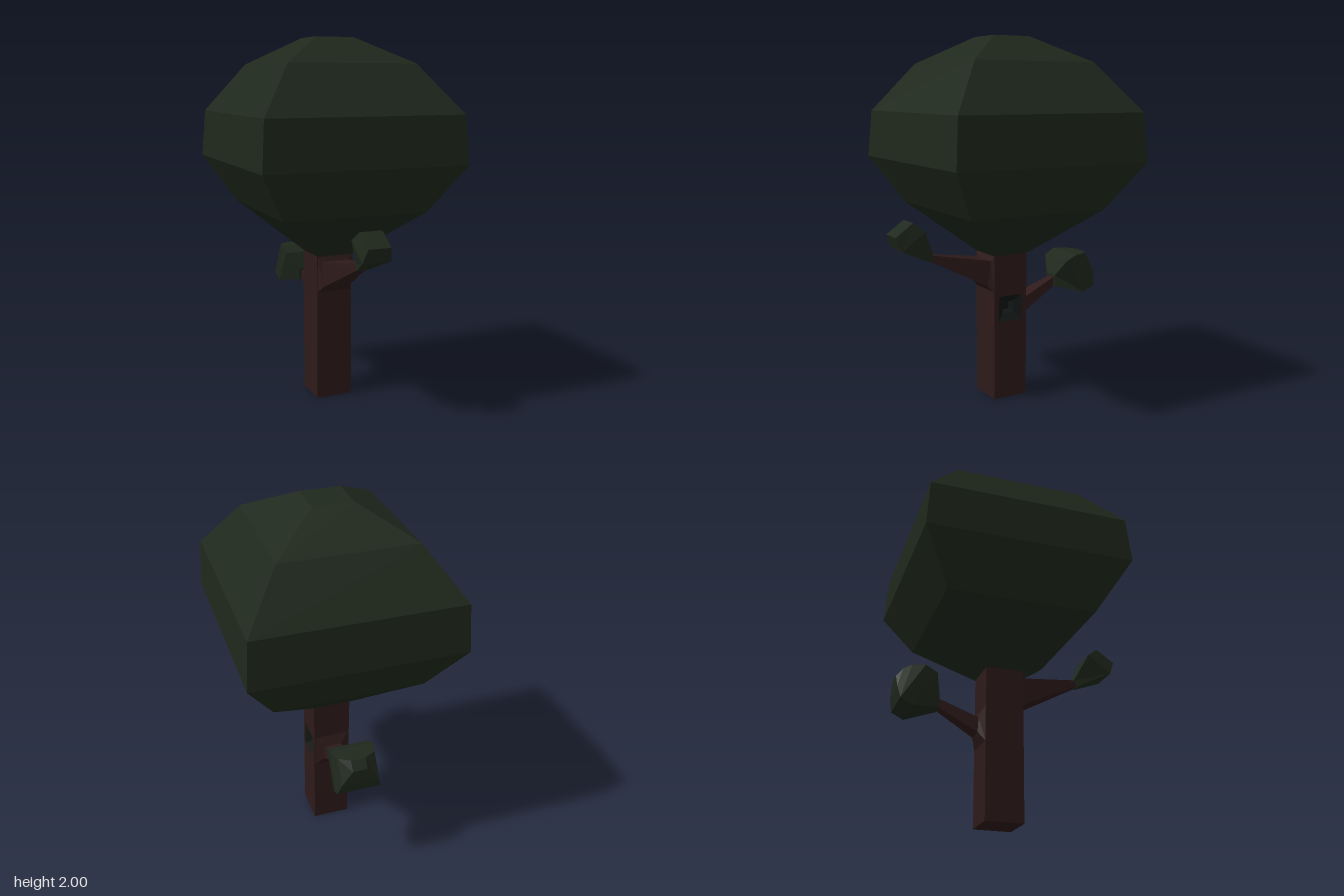
import * as THREE from 'three';

const LEAF = 0x1f281c, BARK = 0x2e1a1a, HOLLOW = 0x111615;
const CZ = -0.0435, HALF = 0.103, TRUNK_H = 0.82;

function makeMesh(name, geometry, color, side = THREE.FrontSide) {
  const mesh = new THREE.Mesh(
    geometry, new THREE.MeshStandardMaterial({ color, flatShading: true, side }));
  mesh.name = name;
  return mesh;
}

// Skins four-cornered sections; each is [z1, y1, z2, y2, halfWidthX],
// running counter-clockwise when seen from the far end.
function loft(sections, capStart = true) {
  const rings = sections.map(([z1, y1, z2, y2, w]) =>
    [[w, y1, z1], [w, y2, z2], [-w, y2, z2], [-w, y1, z1]]);
  const pos = [];
  const quad = (a, b, c, d) => pos.push(...a, ...b, ...c, ...a, ...c, ...d);
  for (let i = 0; i < rings.length - 1; i++) {
    const a = rings[i], b = rings[i + 1];
    for (let j = 0; j < 4; j++) {
      const k = (j + 1) % 4;
      quad(a[j], a[k], b[k], b[j]);
    }
  }
  const first = rings[0], last = rings[rings.length - 1];
  if (capStart) quad(first[3], first[2], first[1], first[0]);
  quad(...last);
  const geometry = new THREE.BufferGeometry();
  geometry.setAttribute('position', new THREE.Float32BufferAttribute(pos, 3));
  geometry.computeVertexNormals();
  return geometry;
}

// Square sections stacked along y, from [half size, height] pairs
const squares = (profile, z) => profile.map(([h, y]) => [z + h, y, z - h, y, h]);

function createTrunk() {
  const trunk = new THREE.Group();
  trunk.name = 'trunk';
  const wall = 0.07, knotY = 0.515, knotHalf = 0.072;

  const core = makeMesh('trunkCore',
    new THREE.BoxGeometry(2 * HALF - wall, TRUNK_H, 2 * HALF), BARK);
  core.position.set(-wall / 2, TRUNK_H / 2, CZ);

  // Side wall with a square opening
  const shape = new THREE.Shape([[-HALF, 0], [HALF, 0], [HALF, TRUNK_H], [-HALF, TRUNK_H]]
    .map(p => new THREE.Vector2(...p)));
  const k = knotHalf;
  shape.holes.push(new THREE.Path([[-k, -k], [-k, k], [k, k], [k, -k]]
    .map(([x, y]) => new THREE.Vector2(x, knotY + y))));
  const side = makeMesh('trunkSide',
    new THREE.ExtrudeGeometry(shape, { depth: wall, bevelEnabled: false }), BARK);
  side.rotation.y = Math.PI / 2;
  side.position.set(HALF - wall, 0, CZ);

  // Stepped hollow inside the opening
  const hollow = makeMesh('knotHollow',
    loft(squares([[knotHalf, 0], [0.034, -0.03], [0.02, -0.06]], 0), false),
    HOLLOW, THREE.DoubleSide);
  hollow.rotation.z = -Math.PI / 2;
  hollow.position.set(HALF, knotY, CZ);

  trunk.add(core, side, hollow);
  return trunk;
}

export function createModel() {
  const tree = new THREE.Group();
  tree.name = 'tree';
  tree.add(createTrunk());

  // Main crown
  tree.add(makeMesh('crown', loft(squares([
    [0.105, 0.82], [0.405, 1.08], [0.563, 1.34],
    [0.545, 1.6], [0.355, 1.86], [0.107, 2],
  ], CZ)), LEAF));

  // Front branch and its leaves
  tree.add(makeMesh('frontBranch', loft([
    [0.058, 0.615, 0.058, 0.82, 0.1],
    [0.09, 0.65, 0.07, 0.79, 0.08],
    [0.405, 0.81, 0.39, 0.843, 0.025],
  ]), BARK));
  tree.add(makeMesh('frontLeaves', loft([
    [0.405, 0.805, 0.39, 0.843, 0.026],
    [0.59, 0.89, 0.46, 0.985, 0.08],
    [0.62, 0.965, 0.52, 1.035, 0.063],
  ]), LEAF));

  // Back branch and its leaves
  tree.add(makeMesh('backBranch', loft([
    [-0.145, 0.61, -0.145, 0.41, 0.1],
    [-0.17, 0.55, -0.175, 0.47, 0.05],
    [-0.385, 0.64, -0.39, 0.592, 0.026],
  ]), BARK));
  tree.add(makeMesh('backLeaves', loft([
    [-0.38, 0.65, -0.38, 0.585, 0.04],
    [-0.413, 0.745, -0.535, 0.55, 0.115],
    [-0.477, 0.777, -0.6, 0.585, 0.12],
    [-0.545, 0.777, -0.615, 0.65, 0.1],
    [-0.578, 0.777, -0.615, 0.73, 0.04],
  ]), LEAF));

  return tree;
}
